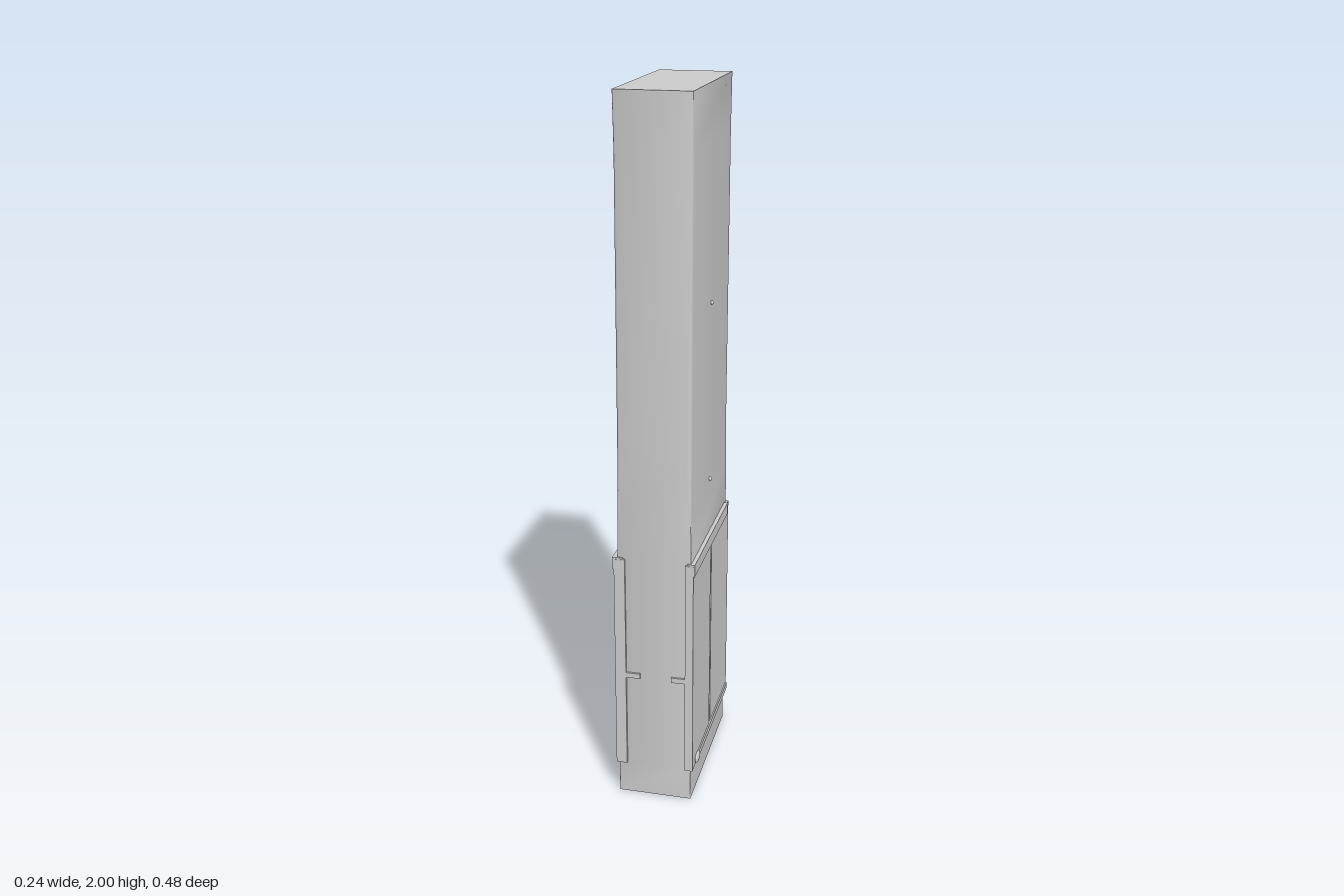
import * as THREE from 'three';
import { toCreasedNormals } from 'three/addons/utils/BufferGeometryUtils.js';

const material = new THREE.MeshStandardMaterial({ color: 0xcccccc });

function box(parent, name, [x0, x1], [y0, y1], [z0, z1]) {
  const mesh = new THREE.Mesh(new THREE.BoxGeometry(x1 - x0, y1 - y0, z1 - z0), material);
  mesh.position.set((x0 + x1) / 2, (y0 + y1) / 2, (z0 + z1) / 2);
  mesh.name = name;
  parent.add(mesh);
  return mesh;
}

// Rectangular column with softened upright edges; each section is
// [y, xMin, xMax, zMin, zMax, edge radius]
function columnGeometry(sections) {
  const steps = 4, positions = [], index = [];
  const count = 4 * (steps + 1);
  for (const [y, x0, x1, z0, z1, r] of sections) {
    const corners = [[x1 - r, z1 - r], [x0 + r, z1 - r], [x0 + r, z0 + r], [x1 - r, z0 + r]];
    corners.forEach(([cx, cz], c) => {
      for (let i = 0; i <= steps; i++) {
        const a = (c + i / steps) * Math.PI / 2;
        positions.push(cx + r * Math.cos(a), y, cz + r * Math.sin(a));
      }
    });
  }
  for (let s = 0; s < sections.length - 1; s++) {
    for (let i = 0; i < count; i++) {
      const a = s * count + i, b = s * count + (i + 1) % count;
      index.push(a, a + count, b, b, a + count, b + count);
    }
  }
  const last = (sections.length - 1) * count;
  for (let i = 1; i < count - 1; i++) {
    index.push(0, i, i + 1);
    index.push(last, last + i + 1, last + i);
  }
  const geometry = new THREE.BufferGeometry();
  geometry.setAttribute('position', new THREE.Float32BufferAttribute(positions, 3));
  geometry.setIndex(index);
  return toCreasedNormals(geometry, 0.6);
}

export function createModel() {
  const group = new THREE.Group();

  // Tall body, slightly wider low down
  const body = new THREE.Mesh(columnGeometry([
    [0, -0.11, 0.1, -0.235, 0.23, 0.002],
    [0.1, -0.11, 0.1, -0.235, 0.232, 0.002],
    [0.75, -0.107, 0.101, -0.235, 0.235, 0.002],
    [0.88, -0.104, 0.1, -0.237, 0.24, 0.003],
    [1.02, -0.104, 0.1, -0.238, 0.24, 0.012],
    [1.85, -0.102, 0.102, -0.24, 0.24, 0.012],
    [2, -0.102, 0.102, -0.24, 0.24, 0.002],
  ]), material);
  body.name = 'body';
  group.add(body);

  // Cladding on both broad sides
  for (const [side, name, face] of [[-1, 'right', 0.116], [1, 'left', 0.108]]) {
    const cladding = new THREE.Group();
    cladding.name = name + 'Cladding';
    group.add(cladding);
    const span = (a, b) => side > 0 ? [a, b] : [-b, -a];

    // Two doors with a narrow upright gap
    box(cladding, 'frontDoor', span(0.085, face), [0.1, 0.745], [0.014, 0.241]);
    box(cladding, 'backDoor', span(0.085, face), [0.1, 0.745], [-0.239, 0.003]);

    // Thin rails above and below the doors
    box(cladding, 'topRail', span(0.09, face + 0.004), [0.715, 0.75], [-0.21, 0.24]);
    box(cladding, 'bottomRail', span(0.09, face + 0.004), [0.105, 0.125], [-0.235, 0.2]);

    // Rounded end of the lower rail
    const stop = new THREE.Mesh(new THREE.SphereGeometry(1, 12, 8), material);
    stop.scale.set(0.007, 0.014, 0.025);
    stop.position.set(side * (face + 0.002), 0.115, 0.185);
    stop.name = 'railEnd';
    cladding.add(stop);

    // Small ledge on the narrow front
    box(cladding, 'frontLedge', span(0.045, 0.09), [0.38, 0.395], [0.228, 0.239]);

    // Tiny studs on the plain upper face
    for (const y of [0.91, 1.42]) {
      const stud = new THREE.Mesh(new THREE.SphereGeometry(0.006, 10, 8), material);
      stud.position.set(side * 0.102, y, 0.005);
      stud.name = 'stud';
      cladding.add(stud);
    }
  }
  return group;
}
